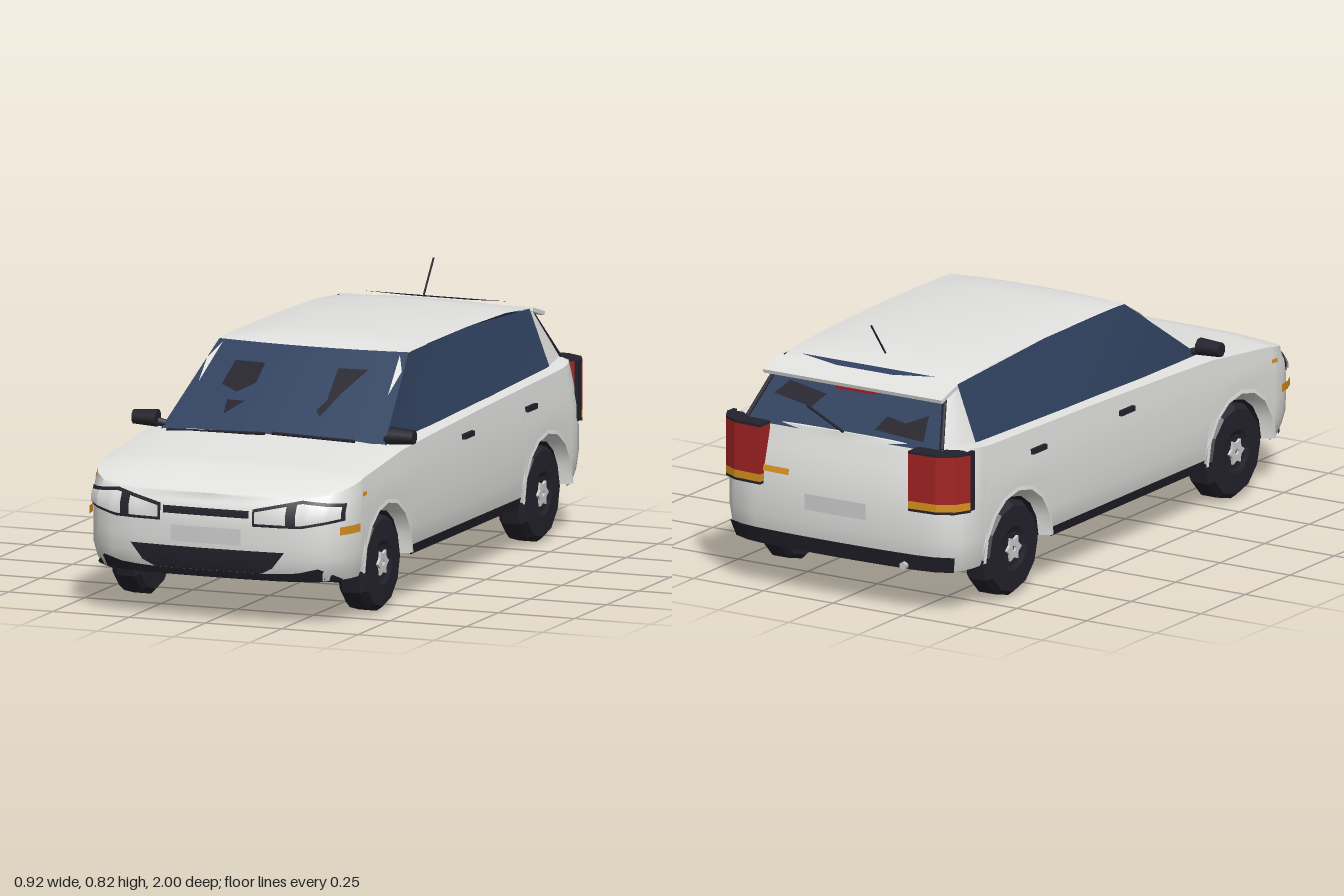
import * as THREE from 'three';
import { toCreasedNormals } from 'three/addons/utils/BufferGeometryUtils.js';

const mat = (name, color) => new THREE.MeshStandardMaterial({ name, color, side: THREE.DoubleSide });

export function createModel() {
  const car = new THREE.Group();
  car.name = 'estateCar';
  const paint = mat('whitePaint', 0xe2e2e0), dark = mat('darkTrim', 0x24232d), glass = mat('blueGlass', 0x30415f);
  const red = mat('redLens', 0xa32222), amber = mat('amberLens', 0xd8921e), silver = mat('silver', 0xcfcfcf);

  const add = (name, geo, material, parent = car) => {
    const m = new THREE.Mesh(geo, material);
    m.name = name;
    parent.add(m);
    return m;
  };
  const box = (name, m, w, h, d, x, y, z) => {
    const b = add(name, new THREE.BoxGeometry(w, h, d), m);
    b.position.set(x, y, z);
    return b;
  };
  // linear lookup in a table of [key, value] sorted by key
  const look = (table, v) => {
    if (v <= table[0][0]) return table[0][1];
    for (let i = 1; i < table.length; i++) {
      const [a, p] = table[i - 1], [b, q] = table[i];
      if (v <= b) return p + (q - p) * (v - a) / (b - a);
    }
    return table[table.length - 1][1];
  };
  // surface through rows of points, smooth except at sharp edges
  const grid = (name, rows, material, crease = 0.6) => {
    const n = rows[0].length, idx = [];
    for (let r = 0; r < rows.length - 1; r++) for (let c = 0; c < n - 1; c++) {
      const a = r * n + c, b = a + 1, d = a + n, e = d + 1;
      idx.push(a, b, e, a, e, d);
    }
    const g = new THREE.BufferGeometry();
    g.setAttribute('position', new THREE.Float32BufferAttribute(rows.flat(2), 3));
    g.setIndex(idx);
    return add(name, toCreasedNormals(g, crease), material);
  };
  const mirrorRows = rows => rows.map(r => r.map(([x, y, z]) => [-x, y, z]).reverse());
  const pair = (name, rows, material) => {
    grid(name + 'Left', rows, material);
    grid(name + 'Right', mirrorRows(rows), material);
  };
  const bar = (name, a, b, r, material) => {
    const p = new THREE.Vector3(...a), q = new THREE.Vector3(...b);
    const m = add(name, new THREE.CylinderGeometry(r, r, p.distanceTo(q), 6), material);
    m.position.copy(p).add(q).multiplyScalar(0.5);
    m.quaternion.setFromUnitVectors(new THREE.Vector3(0, 1, 0), q.sub(p).normalize());
  };

  // ---- lower body: plan outline swept up the sides, then closed over the bonnet
  const nose = [[0, 0.995], [0.12, 0.993], [0.24, 0.985], [0.32, 0.97], [0.37, 0.948], [0.405, 0.91], [0.425, 0.86], [0.433, 0.815]];
  const tail = [[0, -0.985], [0.15, -0.983], [0.3, -0.975], [0.38, -0.96], [0.415, -0.93], [0.43, -0.88], [0.433, -0.845]];
  const sideIn = [[0.13, 0.955], [0.2, 1], [0.38, 1], [0.44, 0.985], [0.52, 0.965]];
  const frontIn = [[0.13, -0.03], [0.18, -0.006], [0.25, 0], [0.35, 0], [0.4, -0.03]];
  const rearIn = [[0.13, 0.02], [0.2, 0], [0.36, 0], [0.52, 0.045]];
  const beltY = [[-1, 0.52], [-0.9, 0.517], [-0.8, 0.508], [0, 0.49], [0.47, 0.472], [0.6, 0.458], [0.8, 0.437], [0.9, 0.418], [0.95, 0.402], [1, 0.385]];
  const crownY = [[-1, 0], [-0.8, 0.012], [0.47, 0.022], [0.85, 0.02], [1, 0.006]];
  const wheelZ = [0.61, -0.64], archR = 0.19;
  const skin = (x, z, y, off = 0) => {
    const end = Math.min(1, Math.max(0, (Math.abs(z) - 0.75) / 0.17));
    const dz = z > 0 ? look(frontIn, y) : look(rearIn, y);
    const round = (Math.abs(x) / 0.433) ** 3;
    return [x * look(sideIn, y) + Math.sign(x) * round * off, y, z + end * (dz + Math.sign(z) * off)];
  };
  const arch = [];
  for (const c of wheelZ) {
    arch.push([0.433, c + 0.195]);
    for (let i = 0; i <= 8; i++) arch.push([0.433, c + archR * Math.cos(i * Math.PI / 8)]);
    arch.push([0.433, c - 0.195]);
    if (c > 0) arch.push([0.433, 0.2], [0.433, -0.2]);
  }
  const half = [...nose, ...arch, ...tail.slice().reverse()];
  const loop = [...half, ...half.slice(0, -1).reverse().map(([x, z]) => [-x, z])];
  const sillY = z => {
    const c = wheelZ.find(w => Math.abs(z - w) < archR + 0.001);
    return c === undefined ? 0.14 : 0.15 + Math.sqrt(Math.max(0, archR ** 2 - (z - c) ** 2));
  };
  const rows = [0, 0.1, 0.25, 0.45, 0.65, 0.82, 0.93, 1].map(t => loop.map(([x, z]) => {
    const lo = sillY(z);
    return skin(x, z, lo + (look(beltY, z) - lo) * t);
  }));
  const rim = rows[rows.length - 1];
  for (const s of [0.96, 0.85, 0.6, 0.3, 0])
    rows.push(rim.map(([x, y, z]) => [x * s, y + look(crownY, z) * (1 - s ** 4), z]));
  grid('bodyShell', rows, paint, 0.7);

  // ---- underside
  box('floor', dark, 0.8, 0.05, 0.81, 0, 0.17, -0.015);
  box('frontFloor', dark, 0.72, 0.05, 0.12, 0, 0.17, 0.865);
  box('rearFloor', dark, 0.74, 0.05, 0.11, 0, 0.17, -0.89);
  box('chassis', dark, 0.61, 0.2, 1.78, 0, 0.25, 0);

  // ---- wheels, arches and housings
  const tyre = [[0.02, -0.047], [0.135, -0.047], [0.15, -0.032], [0.15, 0.025], [0.135, 0.045], [0.07, 0.047], [0.055, 0.04], [0, 0.04]].map(p => new THREE.Vector2(...p));
  const tyreGeo = toCreasedNormals(new THREE.LatheGeometry(tyre, 12), 0.1).rotateZ(-Math.PI / 2);
  const star = new THREE.Shape();
  for (let i = 0; i < 12; i++) {
    const r = i % 2 ? 0.028 : 0.042, a = i * Math.PI / 6;
    star[i ? 'lineTo' : 'moveTo'](r * Math.cos(a), r * Math.sin(a));
  }
  star.holes.push(new THREE.Path().absarc(0, 0, 0.01, 0, Math.PI * 2));
  const hubGeo = new THREE.ExtrudeGeometry(star, { depth: 0.008, bevelEnabled: false, curveSegments: 4 }).rotateY(Math.PI / 2).translate(0.04, 0, 0);
  for (const z of wheelZ) {
    const housing = add('wheelHousing', new THREE.CylinderGeometry(0.19, 0.19, 0.61, 20), dark);
    housing.rotation.z = Math.PI / 2;
    housing.position.set(0, 0.27, z);
    const ring = [[0.197, 0.436], [0.185, 0.438], [0.16, 0.405], [0.16, 0.31]].map(([r, x]) =>
      Array.from({ length: 9 }, (_, i) => [x, 0.15 + r * Math.sin(i * Math.PI / 8), z + r * Math.cos(i * Math.PI / 8)]));
    pair('archLip', ring.slice(0, 3).reverse(), paint);
    pair('archLiner', ring.slice(2).reverse(), dark);
    for (const s of [1, -1]) {
      const wheel = new THREE.Group();
      wheel.name = 'wheel';
      wheel.position.set(s * 0.373, 0.15, z);
      wheel.rotation.y = s > 0 ? 0 : Math.PI;
      add('tyre', tyreGeo, dark, wheel);
      add('hub', hubGeo, silver, wheel);
      car.add(wheel);
    }
  }

  // ---- cabin glass and roof
  const screen = (x, y, off = 0) => {
    const v = (y - 0.485) / 0.225, w = 0.366 - 0.056 * v;
    return [x, y + off * 0.8, 0.47 - 0.32 * v + 0.025 * (1 - (x / w) ** 2) + off * 0.6];
  };
  const across = w => Array.from({ length: 9 }, (_, i) => w * (i / 4 - 1));
  grid('windscreen', [0, 0.5, 1].map(v => across(0.366 - 0.056 * v).map(x => screen(x, 0.485 + 0.225 * v))), glass);
  pair('sideGlass', [
    [[0.366, 0.478, 0.47], [0.382, 0.485, 0.15], [0.386, 0.495, -0.3], [0.38, 0.505, -0.79]],
    [[0.366, 0.485, 0.47], [0.31, 0.71, 0.15], [0.312, 0.712, -0.3], [0.312, 0.685, -0.79]]], glass);
  const roofLine = [[0.15, 0.71, 0], [0.1, 0.712, 0.018], [0, 0.713, 0.023], [-0.3, 0.712, 0.021], [-0.6, 0.703, 0.02], [-0.76, 0.688, 0.013], [-0.835, 0.665, 0.008]];
  grid('roof', roofLine.map(([z, y, c], i) => across(0.312).map(x => {
    const k = 1 - (x / 0.312) ** 2;
    return [x, y + c * Math.sqrt(Math.max(0, k)) * 0.4 + c * k * 0.6, z + (i ? 0 : 0.025 * k)];
  })), paint, 0.8);
  pair('rearPillar', [
    [[0.38, 0.505, -0.79], [0.372, 0.508, -0.87], [0.352, 0.51, -0.94]],
    [[0.312, 0.685, -0.79], [0.31, 0.675, -0.815], [0.305, 0.665, -0.836]]], paint);
  grid('rearGlass', [[0.305, 0.665, -0.836], [0.352, 0.51, -0.94]].map(([w, y, z]) => across(w).map(x => [x, y, z])), glass);
  const rearPane = (x, y, off) => [x, y + off * 0.5, -0.836 - (0.665 - y) * 0.67 - off * 0.85];
  const patch = (name, map, pts, material) => {
    const g = new THREE.ShapeGeometry(new THREE.Shape(pts.map(p => new THREE.Vector2(...p))));
    const p = g.attributes.position;
    for (let i = 0; i < p.count; i++) p.setXYZ(i, ...map(p.getX(i), p.getY(i), 0.005));
    g.computeVertexNormals();
    add(name, g, material);
  };
  patch('seatShadowRight', screen, [[-0.22, 0.66], [-0.23, 0.6], [-0.17, 0.585], [-0.12, 0.61], [-0.12, 0.66]], dark);
  patch('seatShadowLeft', screen, [[0.12, 0.66], [0.13, 0.58], [0.11, 0.555], [0.13, 0.54], [0.165, 0.6], [0.215, 0.66]], dark);
  patch('wheelShadow', screen, [[-0.19, 0.565], [-0.18, 0.53], [-0.13, 0.565]], dark);
  patch('rearShadowRight', rearPane, [[-0.28, 0.53], [-0.1, 0.54], [-0.13, 0.58], [-0.2, 0.57], [-0.27, 0.6]], dark);
  patch('rearShadowLeft', rearPane, [[0.28, 0.59], [0.14, 0.57], [0.1, 0.61], [0.24, 0.63]], dark);
  for (const s of [1, -1]) {
    patch('screenPillar', screen, [[s * 0.29, 0.7], [s * 0.319, 0.66], [s * 0.31, 0.6]], paint);
    bar('rearFrame', [s * 0.302, 0.655, -0.845], [s * 0.348, 0.52, -0.935], 0.007, dark);
  }

  // ---- roof tail and fittings
  box('spoiler', paint, 0.64, 0.012, 0.095, 0, 0.668, -0.845).rotation.x = -0.29;
  patch('roofSlit', (x, z) => [x, 0.7 + 0.35 * (z + 0.8), z], [[-0.24, -0.8], [0.24, -0.8], [0.1, -0.825], [-0.1, -0.825]], glass);
  box('rearFrameTop', dark, 0.6, 0.012, 0.02, 0, 0.648, -0.86);
  box('highBrakeLight', red, 0.14, 0.012, 0.012, 0, 0.642, -0.872);
  bar('aerial', [0, 0.715, -0.705], [0, 0.82, -0.785], 0.003, dark);
  bar('wiperRight', [-0.34, 0.484, 0.49], [-0.015, 0.497, 0.503], 0.005, dark);
  bar('wiperLeft', [0.01, 0.5, 0.503], [0.28, 0.493, 0.5], 0.005, dark);
  bar('rearWiper', [0, 0.525, -0.943], [0.15, 0.575, -0.908], 0.004, dark);

  // ---- fitted panels that follow the body skin
  const panel = (name, ends, x0, x1, lo, hi, material, off) => {
    const n = 14, out = [0, 0.5, 1].map(t => Array.from({ length: n + 1 }, (_, i) => {
      const x = x0 + (x1 - x0) * i / n, a = look(lo, Math.abs(x)), b = look(hi, Math.abs(x));
      return skin(x, look(ends, Math.abs(x)), a + (b - a) * t, off);
    }));
    return grid(name, ends === nose ? out : out.map(r => r.reverse()), material);
  };
  const flat = v => [[0, v]];
  const lampLo = [[0.15, 0.306], [0.3, 0.306], [0.41, 0.327]], lampHi = [[0.15, 0.358], [0.3, 0.39], [0.41, 0.378]];
  const inset = (t, d) => t.map(([x, y]) => [x, y + d]);
  for (const s of [1, -1]) {
    const front = (name, a, b, lo, hi, m, off) => panel(name, nose, ...(s > 0 ? [a, b] : [-b, -a]), lo, hi, m, off);
    front('headlampFrame', 0.15, 0.412, lampLo, lampHi, dark, 0.004);
    front('headlampInner', 0.158, 0.255, inset(lampLo, 0.009), inset(lampHi, -0.009), paint, 0.007);
    front('headlampOuter', 0.285, 0.404, inset(lampLo, 0.009), inset(lampHi, -0.009), paint, 0.007);
  }
  panel('grille', nose, -0.14, 0.14, flat(0.33), flat(0.353), dark, 0.005);
  panel('frontPlate', nose, -0.115, 0.115, flat(0.245), flat(0.295), silver, 0.005);
  panel('intake', nose, -0.25, 0.25, [[0.2, 0.16], [0.25, 0.229]], flat(0.23), dark, 0.004);
  panel('frontBumperTrim', nose, -0.41, 0.41, flat(0.138), [[0.2, 0.16], [0.31, 0.168], [0.36, 0.185], [0.41, 0.145]], dark, 0.005);
  panel('rearBumperTrim', tail, -0.4, 0.4, flat(0.138), flat(0.19), dark, 0.007);
  panel('rearPlate', tail, -0.11, 0.11, flat(0.275), flat(0.325), silver, 0.005);
  panel('fogLight', tail, 0.17, 0.28, flat(0.372), flat(0.39), amber, 0.006);
  const strip = (name, z0, z1, y0, y1, m) => {
    const at = z => z > 0.8 ? nose.reduce((p, [x, q]) => Math.abs(q - z) < Math.abs(p[1] - z) ? [x, q] : p)[0] : 0.433;
    pair(name, [y0, y1].map(y => [z0, (z0 + z1) / 2, z1].map(z => skin(at(z), z, y, 0.006))), m);
  };
  strip('sillTrim', 0.41, -0.44, 0.14, 0.172, dark);
  strip('frontIndicator', 0.92, 0.83, 0.285, 0.31, amber);
  strip('sideRepeater', 0.82, 0.785, 0.388, 0.4, amber);

  // ---- tail lamps, door handles, mirrors, exhaust
  const lampPlan = [[0.265, 0.995], [0.36, 0.988], [0.41, 0.96], [0.436, 0.91], [0.4, 0.9], [0.265, 0.94]];
  for (const s of [1, -1]) {
    const shape = new THREE.Shape(lampPlan.map(([x, z]) => new THREE.Vector2(s * x, z)));
    const slab = (name, y, h, m) => add(name, new THREE.ExtrudeGeometry(shape, { depth: h, bevelEnabled: false }).rotateX(-Math.PI / 2).translate(0, y, 0), m);
    slab('tailLampBase', 0.33, 0.008, dark);
    slab('tailIndicator', 0.338, 0.024, amber);
    slab('tailLamp', 0.362, 0.148, red);
    slab('tailLampCap', 0.51, 0.008, dark);
    box('tailLampEdge', dark, 0.012, 0.185, 0.035, s * 0.427, 0.425, -0.898);
    for (const z of [-0.025, -0.52]) box('doorHandle', dark, 0.012, 0.016, 0.075, s * 0.432, 0.435, z);
    const mirror = add('mirror', new THREE.CylinderGeometry(0.028, 0.034, 0.08, 8).rotateY(Math.PI / 8).rotateZ(-s * Math.PI / 2), dark);
    mirror.scale.set(1, 0.8, 0.75);
    mirror.position.set(s * 0.42, 0.512, 0.462);
    bar('mirrorArm', [s * 0.36, 0.495, 0.45], [s * 0.4, 0.505, 0.46], 0.012, dark);
  }
  bar('exhaust', [-0.24, 0.15, -0.9], [-0.24, 0.15, -0.985], 0.013, silver);
  return car;
}
